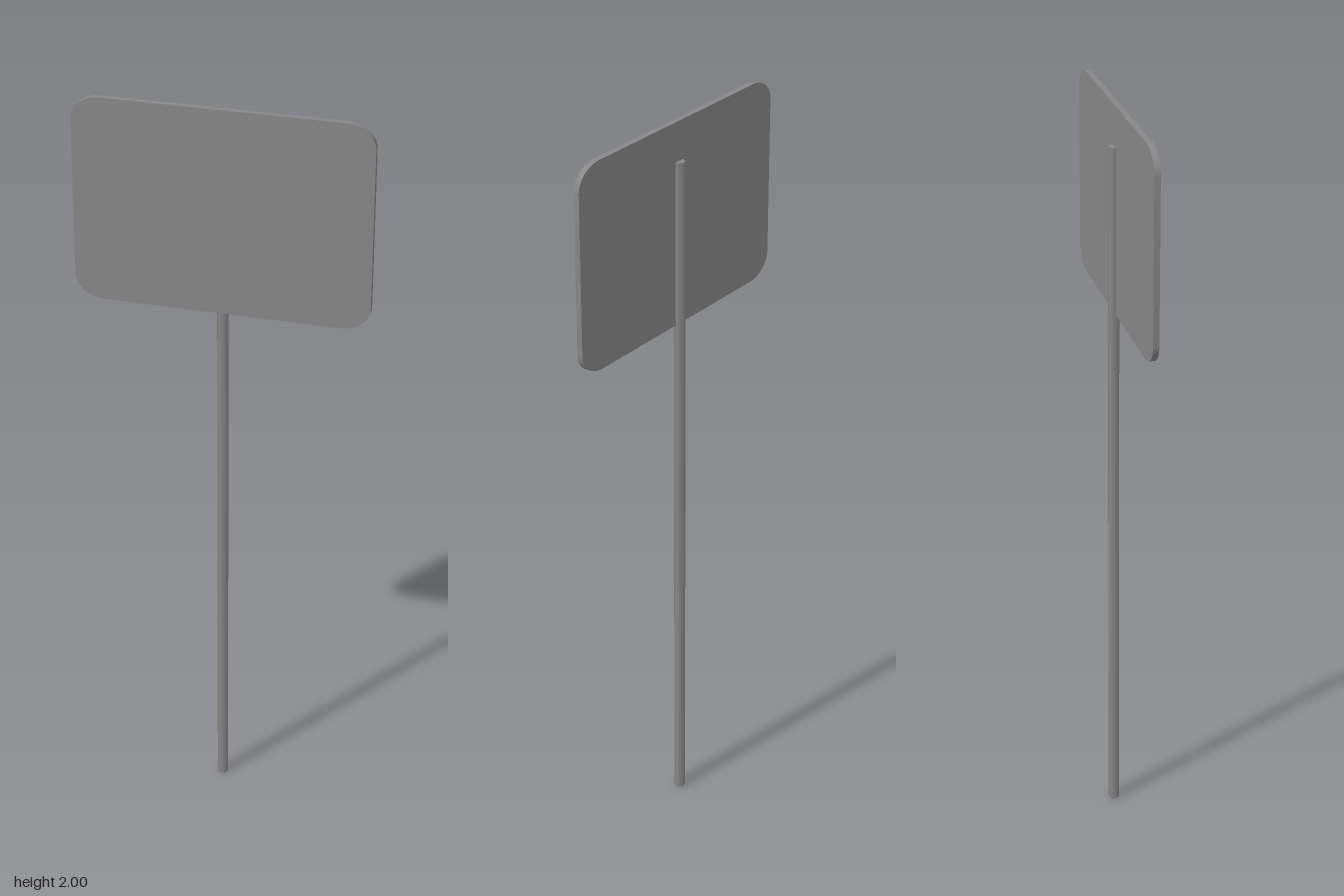
import * as THREE from 'three';
import { toCreasedNormals } from 'three/addons/utils/BufferGeometryUtils.js';

const W = 0.385, BOTTOM = 1.454, TOP = 2; // sign extents
const RX = 0.077, RY = 0.062;             // slightly elliptical corners

export function createModel() {
  const group = new THREE.Group();
  const material = new THREE.MeshStandardMaterial({ color: 0x878787 });

  // Sign panel: flat plate with rounded corners
  const outline = new THREE.Shape();
  const corners = [[W - RX, BOTTOM + RY], [W - RX, TOP - RY], [-W + RX, TOP - RY], [-W + RX, BOTTOM + RY]];
  corners.forEach(([x, y], i) => {
    const start = (i - 1) * Math.PI / 2;
    outline.absellipse(x, y, RX, RY, start, start + Math.PI / 2, false, 0);
  });
  outline.closePath();
  const plate = new THREE.ExtrudeGeometry(outline, { depth: 0.0155, bevelEnabled: false, curveSegments: 10 });
  const panel = new THREE.Mesh(toCreasedNormals(plate, Math.PI / 5), material);
  panel.name = 'signPanel';
  group.add(panel);

  // Six-sided, smooth-shaded post, flat side to the back, running up behind the panel
  const height = 1.896, radius = 0.015;
  const hex = new THREE.CylinderGeometry(radius, radius, height, 6, 1, false, Math.PI / 6);
  const post = new THREE.Mesh(hex, material);
  post.name = 'post';
  post.position.set(0, height / 2, -0.0025);
  group.add(post);

  return group;
}
